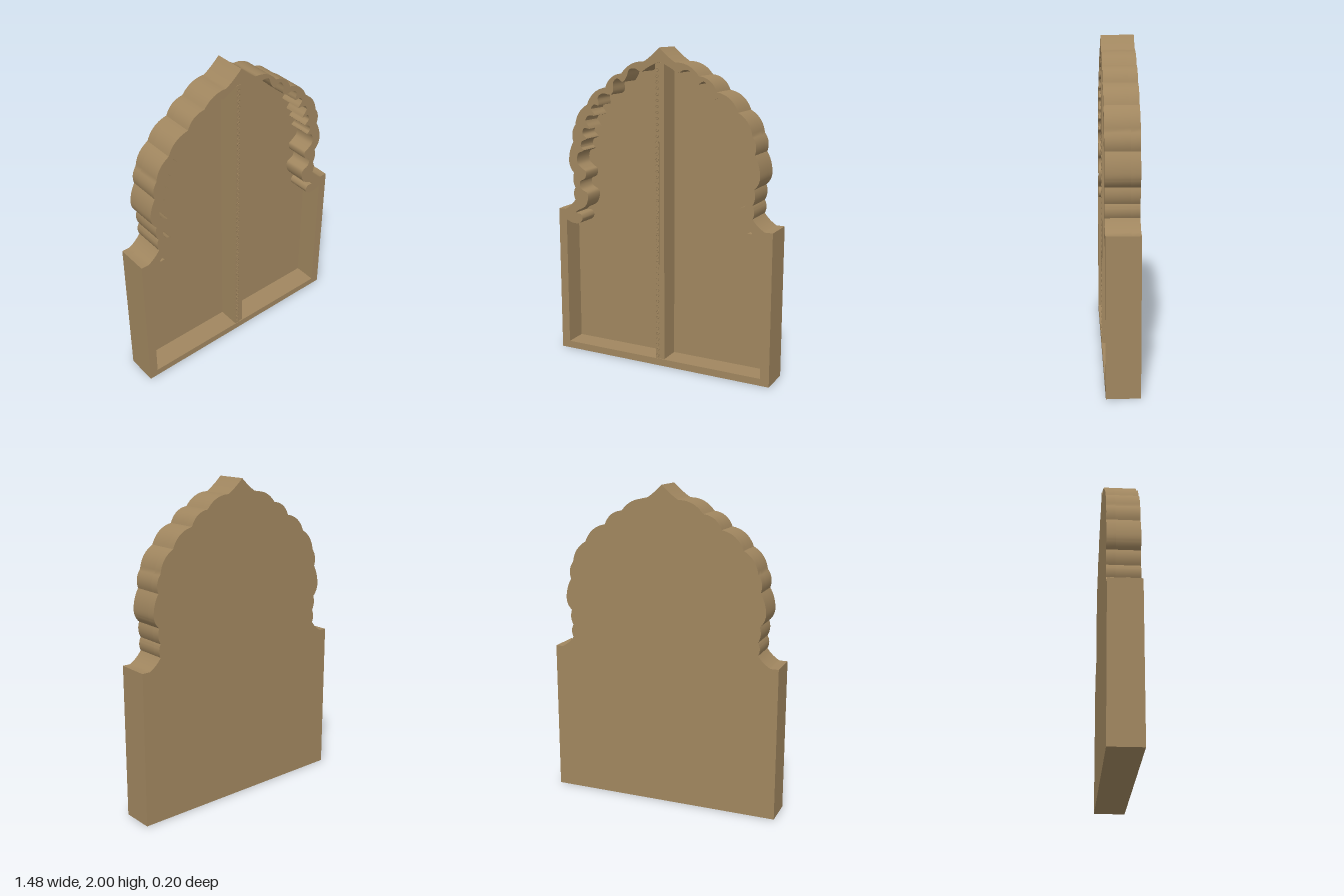
import * as THREE from 'three';
import { toCreasedNormals } from 'three/addons/utils/BufferGeometryUtils.js';

const BACK = -0.1, PANEL = -0.045, FRONT = 0.1;

// Scallop joints of the outer edge, from the apex down: x, y, bulge
const scallops = [
  [0.105, 1.915, -0.008], [0.26, 1.84, 0.045], [0.375, 1.752, 0.045], [0.51, 1.64, 0.05],
  [0.6, 1.51, 0.04], [0.618, 1.4, 0.03], [0.653, 1.29, 0.014], [0.618, 1.2, 0.024],
  [0.61, 1.105, 0.022], [0.612, 1.025, 0.022], [0.69, 0.955, -0.012],
];

// Wavy inner edge of the arch, from the apex down
const wave = [
  [0.03, 1.905], [0.08, 1.88], [0.125, 1.855], [0.165, 1.873], [0.205, 1.865], [0.222, 1.825],
  [0.25, 1.79], [0.29, 1.81], [0.318, 1.785], [0.322, 1.725], [0.345, 1.708], [0.393, 1.715],
  [0.43, 1.69], [0.425, 1.64], [0.46, 1.643], [0.482, 1.615], [0.452, 1.575], [0.5, 1.572],
  [0.525, 1.54], [0.492, 1.49], [0.535, 1.492], [0.548, 1.455], [0.518, 1.425], [0.555, 1.405],
  [0.562, 1.37], [0.542, 1.35], [0.585, 1.325], [0.59, 1.265], [0.555, 1.232], [0.53, 1.215],
  [0.535, 1.17], [0.575, 1.145], [0.565, 1.1], [0.522, 1.075], [0.518, 1.03], [0.54, 0.985],
  [0.6, 0.952], [0.612, 0.937], [0.575, 0.932], [0.562, 0.9], [0.585, 0.872], [0.63, 0.868],
  [0.683, 0.885],
];

// Mirrors a right-hand edge to a closed outline
function mirrored(points) {
  const left = points.filter(p => p.x > 1e-4).map(p => new THREE.Vector2(-p.x, p.y)).reverse();
  return [...points, ...left];
}

function outerOutline() {
  const points = [new THREE.Vector2(0, 2)];
  for (const [x, y, bulge] of scallops) {
    const a = points[points.length - 1].clone(), b = new THREE.Vector2(x, y);
    const d = b.clone().sub(a).normalize();
    const mid = a.clone().add(b).multiplyScalar(0.5).add(new THREE.Vector2(-d.y, d.x).multiplyScalar(bulge));
    points.push(...new THREE.QuadraticBezierCurve(a, mid, b).getPoints(10).slice(1));
  }
  points.push(new THREE.Vector2(0.74, 0.955), new THREE.Vector2(0.74, 0));
  return mirrored(points);
}

// Runs the opposite way to the outer outline, so the opening's walls face inward
function openingOutline() {
  const curve = new THREE.CatmullRomCurve3(wave.map(([x, y]) => new THREE.Vector3(x, y, 0)), false, 'centripetal');
  const edge = curve.getPoints((wave.length - 1) * 4).map(p => new THREE.Vector2(p.x, p.y));
  return mirrored([new THREE.Vector2(0, 1.915), ...edge, new THREE.Vector2(0.683, 0.045)]).reverse();
}

function slab(shape, z0, z1) {
  const geometry = new THREE.ExtrudeGeometry(shape, { depth: z1 - z0, bevelEnabled: false });
  geometry.translate(0, 0, z0);
  return toCreasedNormals(geometry, 0.6);
}

export function createModel() {
  const model = new THREE.Group();
  model.name = 'archedWindow';
  const wood = new THREE.MeshStandardMaterial({ color: 0xa0865f });
  wood.name = 'tan wood';

  function add(name, geometry, x = 0, y = 0, z = 0, parent = model) {
    const mesh = new THREE.Mesh(geometry, wood);
    mesh.name = name;
    mesh.position.set(x, y, z);
    parent.add(mesh);
  }

  // Recessed panel and the scalloped frame in front of it
  const outline = outerOutline();
  add('backPanel', slab(new THREE.Shape(outline), BACK, PANEL));
  const frame = new THREE.Shape(outline);
  frame.holes.push(new THREE.Path(openingOutline()));
  add('frame', slab(frame, PANEL, FRONT));

  // Central post with a cover strip on one half
  const depth = 0.094 - PANEL;
  add('centrePost', new THREE.BoxGeometry(0.06, 1.87, depth), 0, 0.975, PANEL + depth / 2);
  add('coverStrip', new THREE.BoxGeometry(0.03, 1.86, 0.004), -0.015, 0.97, 0.095);

  // Small rings down the strip
  const beads = new THREE.Group();
  beads.name = 'beads';
  model.add(beads);
  const ring = new THREE.TorusGeometry(0.009, 0.0025, 4, 10);
  for (let y = 0.07; y < 1.88; y += 0.036) add('bead', ring, -0.015, y, 0.0975, beads);

  return model;
}
